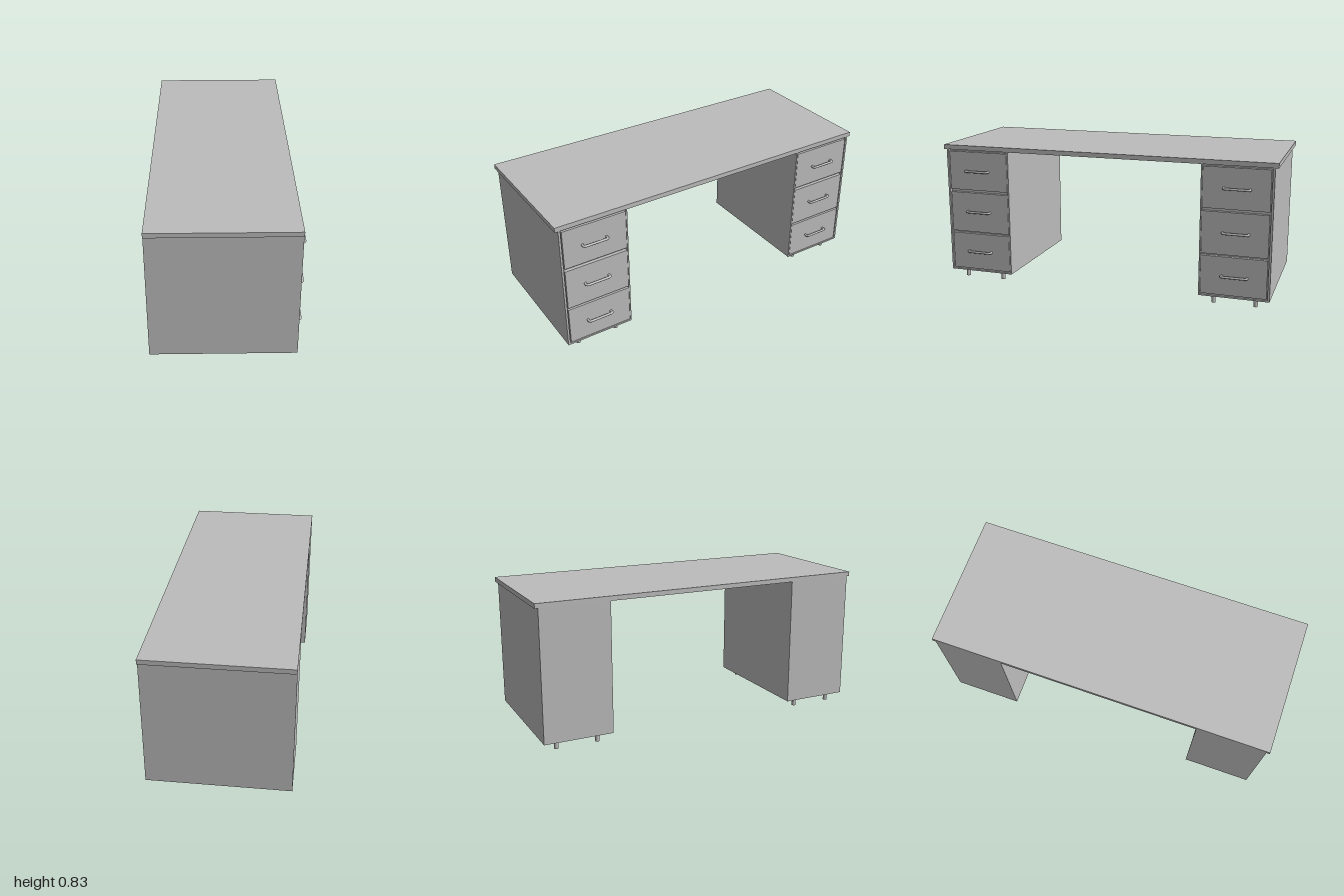
import * as THREE from 'three';

export function createModel() {
  const desk = new THREE.Group();
  desk.name = 'desk';
  const grey = new THREE.MeshStandardMaterial({ color: 0xbcbcbc });
  grey.name = 'grey';

  const add = (parent, name, geometry) => {
    const mesh = new THREE.Mesh(geometry, grey);
    mesh.name = name;
    parent.add(mesh);
    return mesh;
  };
  // Box given by its lower and upper limits on each axis
  const box = (parent, name, x0, x1, y0, y1, z0, z1) =>
    add(parent, name, new THREE.BoxGeometry(x1 - x0, y1 - y0, z1 - z0))
      .position.set((x0 + x1) / 2, (y0 + y1) / 2, (z0 + z1) / 2);

  const back = -0.415, front = 0.383;
  const bottom = 0.05, top = 0.803;
  const inner = 0.58, outer = 0.982;

  box(desk, 'desktop', back, front, top, 0.83, -1, 1);

  // Bow handle: two posts joined by a bar with rounded corners
  const V = (x, z) => new THREE.Vector3(x, 0, z);
  const bow = new THREE.CurvePath();
  const reach = 0.023, half = 0.073, bend = 0.014;
  bow.add(new THREE.LineCurve3(V(-0.005, -half + 0.003), V(reach - bend, -half)));
  bow.add(new THREE.QuadraticBezierCurve3(V(reach - bend, -half), V(reach, -half), V(reach, -half + bend)));
  bow.add(new THREE.LineCurve3(V(reach, -half + bend), V(reach, half - bend)));
  bow.add(new THREE.QuadraticBezierCurve3(V(reach, half - bend), V(reach, half), V(reach - bend, half)));
  bow.add(new THREE.LineCurve3(V(reach - bend, half), V(-0.005, half - 0.003)));
  const handleGeometry = new THREE.TubeGeometry(bow, 48, 0.007, 12);
  const legGeometry = new THREE.CylinderGeometry(0.012, 0.012, bottom, 20);

  const drawers = [[0.065, 0.288, 0.177], [0.3, 0.543, 0.427], [0.56, 0.793, 0.677]];

  for (const side of [1, -1]) {
    const cabinet = new THREE.Group();
    cabinet.name = side > 0 ? 'leftCabinet' : 'rightCabinet';
    desk.add(cabinet);
    const panel = (name, x0, x1, y0, y1, z0, z1) =>
      box(cabinet, name, x0, x1, y0, y1, Math.min(side * z0, side * z1), Math.max(side * z0, side * z1));

    // Carcass behind the drawer fronts, with its rim panels
    panel('carcass', back, front - 0.02, bottom, top, inner, outer);
    panel('innerRim', front - 0.02, front, bottom, top, inner, inner + 0.008);
    panel('outerRim', front - 0.02, front, bottom, top, outer - 0.012, outer);
    panel('bottomRim', front - 0.02, front, bottom, bottom + 0.01, inner + 0.008, outer - 0.012);

    // Drawer fronts and handles
    for (const [y0, y1, handleY] of drawers) {
      panel('drawerFront', front - 0.02, front, y0, y1, inner + 0.01, outer - 0.018);
      add(cabinet, 'handle', handleGeometry).position.set(front, handleY, side * 0.782);
    }

    // Short round feet
    for (const x of [-0.367, 0.333])
      for (const z of [0.66, 0.9])
        add(cabinet, 'foot', legGeometry).position.set(x, bottom / 2, side * z);
  }
  return desk;
}
